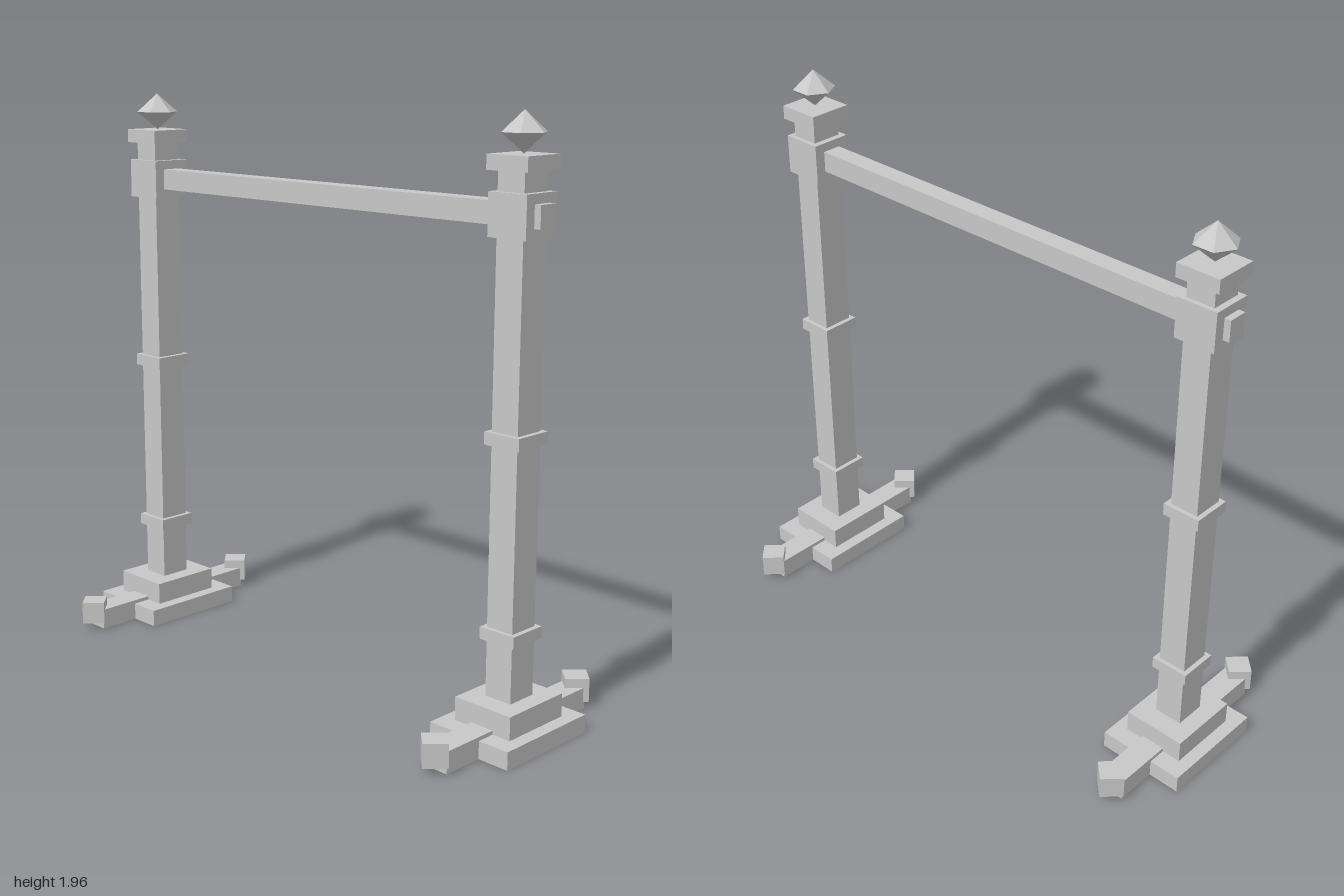
import * as THREE from 'three';

const grey = new THREE.MeshStandardMaterial({ color: 0xc8c8c8, flatShading: true, side: THREE.DoubleSide });
grey.name = 'light grey';

// Box given by half width, half depth and its bottom and top heights
function box(name, hx, hz, y0, y1, open = false) {
  const geo = new THREE.BoxGeometry(hx * 2, y1 - y0, hz * 2);
  if (open) {
    // leave out the underside
    const index = Array.from(geo.index.array);
    index.splice(18, 6);
    geo.setIndex(index);
    geo.clearGroups();
  }
  const mesh = new THREE.Mesh(geo, grey);
  mesh.name = name;
  mesh.position.y = (y0 + y1) / 2;
  return mesh;
}

function createPost(name) {
  const post = new THREE.Group();
  post.name = name;

  // Stepped foot, hollow underneath
  post.add(box('footPlate', 0.195, 0.155, 0, 0.06, true));
  post.add(box('footBeam', 0.343, 0.043, 0, 0.073, true));
  post.add(box('footStep', 0.13, 0.11, 0.06, 0.138, true));

  // Diagonal blocks on the ends of the foot beam
  for (const side of [-1, 1]) {
    const end = box(side > 0 ? 'leftFootEnd' : 'rightFootEnd', 0.04, 0.04, 0.025, 0.105, true);
    end.position.x = side * 0.35;
    end.rotation.y = Math.PI / 4;
    post.add(end);
  }

  // Shaft with two bands, rail block and cap
  post.add(box('shaft', 0.055, 0.05, 0.138, 1.785));
  post.add(box('lowerBand', 0.07, 0.067, 0.327, 0.367));
  post.add(box('upperBand', 0.07, 0.067, 0.952, 0.993));
  post.add(box('railBlock', 0.071, 0.072, 1.583, 1.718));
  post.add(box('cap', 0.077, 0.077, 1.78, 1.827));

  // Six-sided pointed finial
  const top = new THREE.Mesh(new THREE.ConeGeometry(0.073, 0.065, 6, 1, true), grey);
  top.name = 'finialTop';
  top.position.y = 1.9225;
  const bottom = new THREE.Mesh(new THREE.CylinderGeometry(0.073, 0, 0.063, 6, 1, true), grey);
  bottom.name = 'finialBottom';
  bottom.position.y = 1.8585;
  post.add(top, bottom);
  return post;
}

export function createModel() {
  const model = new THREE.Group();
  model.name = 'railFrame';
  for (const side of [-1, 1]) {
    const post = createPost(side > 0 ? 'frontPost' : 'backPost');
    post.position.z = side * 0.845;
    model.add(post);
  }
  // Rail passing through both posts
  model.add(box('rail', 0.034, 0.94, 1.615, 1.687));
  return model;
}
